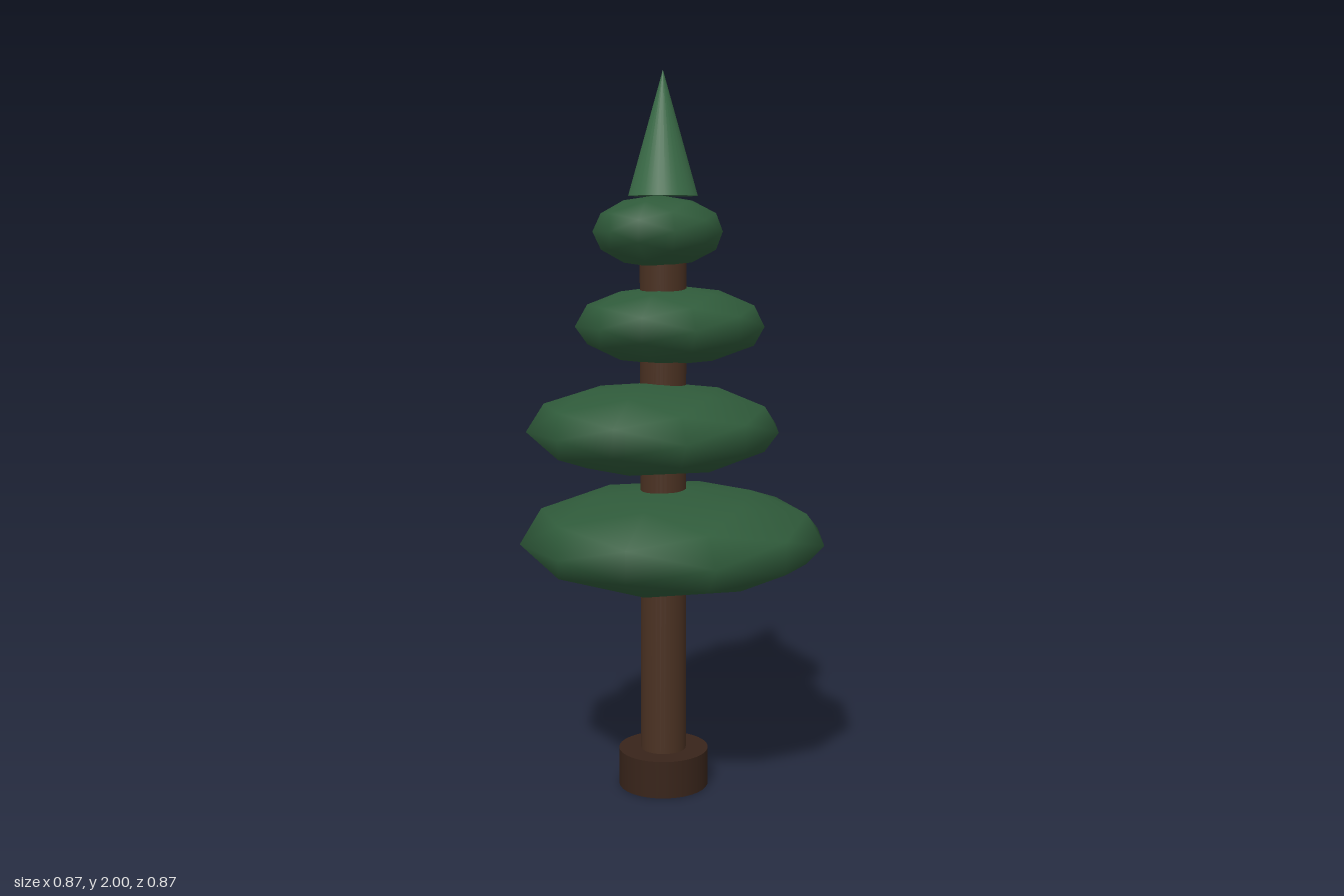
import * as THREE from 'three';

const TRUNK_X = -0.027;

function addPart(group, name, geometry, color, x, y, z = 0) {
  const mesh = new THREE.Mesh(geometry, new THREE.MeshStandardMaterial({ color }));
  mesh.name = name;
  mesh.position.set(x, y, z);
  group.add(mesh);
  return mesh;
}

export function createModel() {
  const tree = new THREE.Group();
  tree.name = 'tree';

  // Round foot and straight trunk
  addPart(tree, 'base', new THREE.CylinderGeometry(0.127, 0.127, 0.106, 32), 0x38241a, TRUNK_X, 0.053);
  addPart(tree, 'trunk', new THREE.CylinderGeometry(0.064, 0.064, 1.46, 32), 0x4a3122, TRUNK_X, 0.83);

  // Flattened foliage tiers, slightly off the trunk axis: x, y, z, radius, half height
  const tiers = [
    [0, 0.72, 0, 0.433, 0.143],
    [-0.062, 1.034, 0.027, 0.354, 0.125],
    [0, 1.312, -0.027, 0.269, 0.111],
    [-0.045, 1.569, 0.017, 0.182, 0.098],
  ];
  tiers.forEach(([x, y, z, radius, halfHeight], i) => {
    const geometry = new THREE.IcosahedronGeometry(radius, 1);
    geometry.scale(1, halfHeight / radius, 1);
    addPart(tree, `foliageTier${i + 1}`, geometry, 0x2f5a3a, x, y, z);
  });

  // Pointed tip
  addPart(tree, 'treeTip', new THREE.ConeGeometry(0.095, 0.335, 32), 0x3a6b47, TRUNK_X, 1.8325);

  return tree;
}
